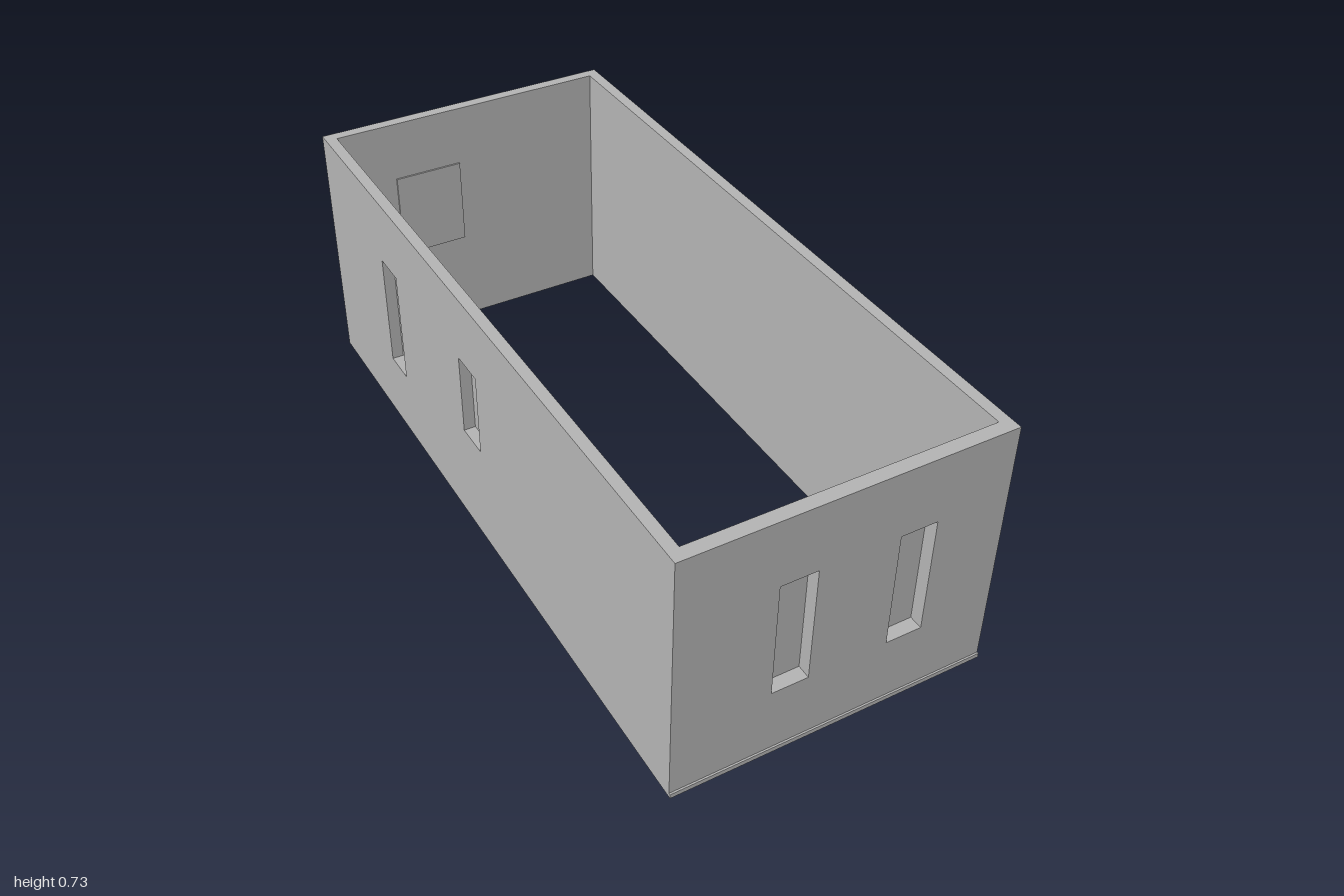
import * as THREE from 'three';

const H = 0.73, HALF_W = 0.441, T = 0.032;
const FRONT_IN = 0.957, FRONT_OUT = 0.995, BACK_IN = -0.968, BACK_OUT = -1;
const PANE_T = 0.005, LAP = 0.013;

// Wall standing on its inner plane (local z = 0) and growing outwards along +z.
// Each opening is [u0, u1, y0, y1], closed on the inside by a thin overlapping pane.
function makeWall(name, u0, u1, depth, openings, material) {
  const group = new THREE.Group();
  group.name = name;
  const shape = new THREE.Shape()
    .moveTo(u0, 0).lineTo(u1, 0).lineTo(u1, H).lineTo(u0, H).closePath();
  for (const [a, b, c, d] of openings) {
    shape.holes.push(new THREE.Path()
      .moveTo(a, c).lineTo(a, d).lineTo(b, d).lineTo(b, c).closePath());
    const pane = new THREE.Mesh(
      new THREE.BoxGeometry(b - a + 2 * LAP, d - c + 2 * LAP, PANE_T), material);
    pane.name = 'windowPane';
    pane.position.set((a + b) / 2, (c + d) / 2, -PANE_T / 2);
    group.add(pane);
  }
  const wall = new THREE.Mesh(
    new THREE.ExtrudeGeometry(shape, { depth, bevelEnabled: false }), material);
  wall.name = name + 'Panel';
  group.add(wall);
  return group;
}

export function createModel() {
  const model = new THREE.Group();
  model.name = 'roomShell';
  const grey = new THREE.MeshStandardMaterial({ color: 0xb2b2b2 });
  grey.name = 'wallGrey';

  // Front wall with two tall windows
  const front = makeWall('frontWall', -HALF_W, HALF_W, FRONT_OUT - FRONT_IN,
    [[-0.178, -0.078, 0.202, 0.538], [0.14, 0.24, 0.202, 0.538]], grey);
  front.position.z = FRONT_IN;

  // Back wall with one squarish window (local u runs towards -x)
  const back = makeWall('backWall', -HALF_W, HALF_W, BACK_IN - BACK_OUT,
    [[0.053, 0.23, 0.302, 0.538]], grey);
  back.rotation.y = Math.PI;
  back.position.z = BACK_IN;

  // Side wall at -x with one tall and one short window (local u is z)
  const windowed = makeWall('windowedSideWall', BACK_IN, FRONT_IN, T,
    [[-0.594, -0.494, 0.202, 0.538], [-0.08, 0.021, 0.302, 0.538]], grey);
  windowed.rotation.y = -Math.PI / 2;
  windowed.position.x = -HALF_W + T;

  // Plain side wall at +x (local u is -z)
  const plain = makeWall('plainSideWall', -FRONT_IN, -BACK_IN, T, [], grey);
  plain.rotation.y = Math.PI / 2;
  plain.position.x = HALF_W - T;

  // Low sill strip along the foot of the front wall
  const sill = new THREE.Mesh(
    new THREE.BoxGeometry(2 * HALF_W, 0.013, 1 - FRONT_OUT), grey);
  sill.name = 'frontSill';
  sill.position.set(0, 0.0065, (1 + FRONT_OUT) / 2);

  model.add(front, back, windowed, plain, sill);
  return model;
}
